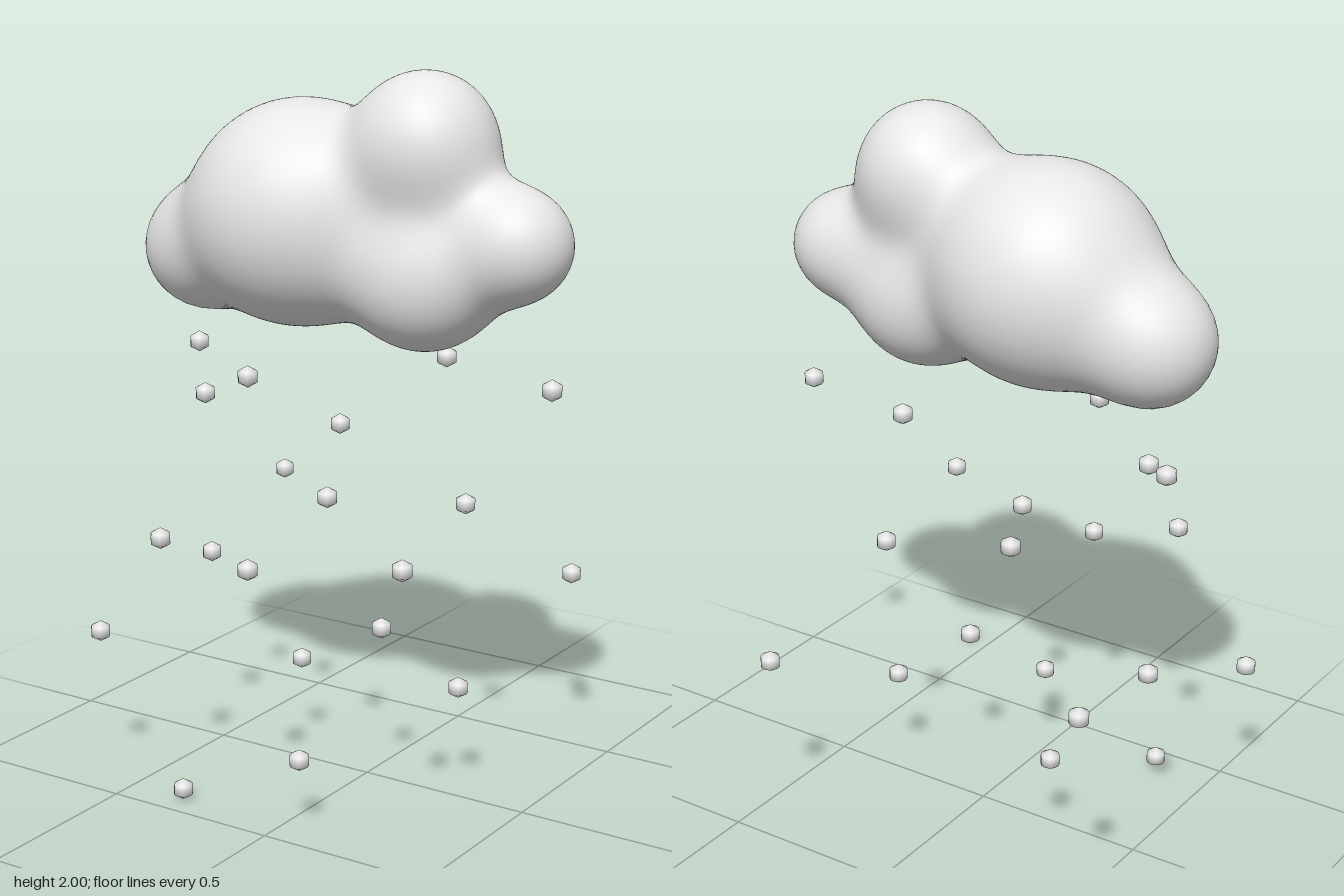
import * as THREE from 'three';
import { mergeVertices } from 'three/addons/utils/BufferGeometryUtils.js';

// Cloud lobes: x, y, z, radius
const LOBES = [
  [-0.15, 1.60, 0.085, 0.300],
  [-0.47, 1.475, 0.08, 0.163],
  [0.235, 1.815, 0.085, 0.181],
  [0.235, 1.465, 0.085, 0.189],
  [0.495, 1.57, 0.06, 0.138],
];

// Raindrop centres: x, y, z
const DROPS = [
  [-0.58, 1.172, -0.025], [-0.187, 1.187, 0.29], [0.172, 1.203, -0.13], [0.555, 1.185, -0.02],
  [-0.413, 1.087, 0.175], [-0.22, 0.943, -0.2], [-0.007, 0.858, 0.185], [0.242, 0.803, -0.12],
  [0.38, 0.79, 0.425], [-0.345, 0.763, 0.475], [-0.098, 0.705, 0.425], [-0.603, 0.685, -0.473],
  [-0.527, 0.565, 0.005], [0.392, 0.535, -0.46], [-0.613, 0.43, 0.41], [0.092, 0.473, 0.07],
  [0.292, 0.318, -0.005], [-0.278, 0.262, -0.085], [0.062, 0.205, 0.425], [-0.325, 0.032, 0.425],
];

// Distance to the lobes, softly melted together where they meet
function cloudDistance(p) {
  const blend = 0.062;
  let sum = 0;
  for (const [x, y, z, r] of LOBES) {
    sum += Math.exp((r - Math.hypot(p.x - x, p.y - y, p.z - z)) / blend);
  }
  return -blend * Math.log(sum);
}

// Shrink a dense ball inwards onto the blended lobes
function cloudGeometry() {
  let geometry = new THREE.IcosahedronGeometry(1, 28);
  geometry.deleteAttribute('uv');
  geometry.deleteAttribute('normal');
  geometry = mergeVertices(geometry, 1e-4);
  const centre = new THREE.Vector3(0.12, 1.62, 0.08);
  const position = geometry.attributes.position;
  const direction = new THREE.Vector3();
  const point = new THREE.Vector3();
  for (let i = 0; i < position.count; i++) {
    direction.fromBufferAttribute(position, i).normalize();
    let reach = 1.2;
    for (let step = 0; step < 150; step++) {
      point.copy(centre).addScaledVector(direction, reach);
      const d = cloudDistance(point);
      if (d < 0.0002) break;
      reach -= d;
    }
    position.setXYZ(i, point.x, point.y, point.z);
  }
  geometry.computeVertexNormals();
  return geometry;
}

export function createModel() {
  const model = new THREE.Group();
  model.name = 'rainCloud';
  const paleGrey = new THREE.MeshStandardMaterial({ color: 0xe7e7e7 });
  paleGrey.name = 'paleGrey';

  const cloud = new THREE.Mesh(cloudGeometry(), paleGrey);
  cloud.name = 'cloud';
  model.add(cloud);

  // Scattered raindrops
  const rain = new THREE.Group();
  rain.name = 'rain';
  const dropGeometry = new THREE.SphereGeometry(0.03, 12, 3);
  DROPS.forEach(([x, y, z], i) => {
    const drop = new THREE.Mesh(dropGeometry, paleGrey);
    drop.name = `raindrop${i + 1}`;
    drop.position.set(x, y, z);
    rain.add(drop);
  });
  model.add(rain);
  return model;
}
